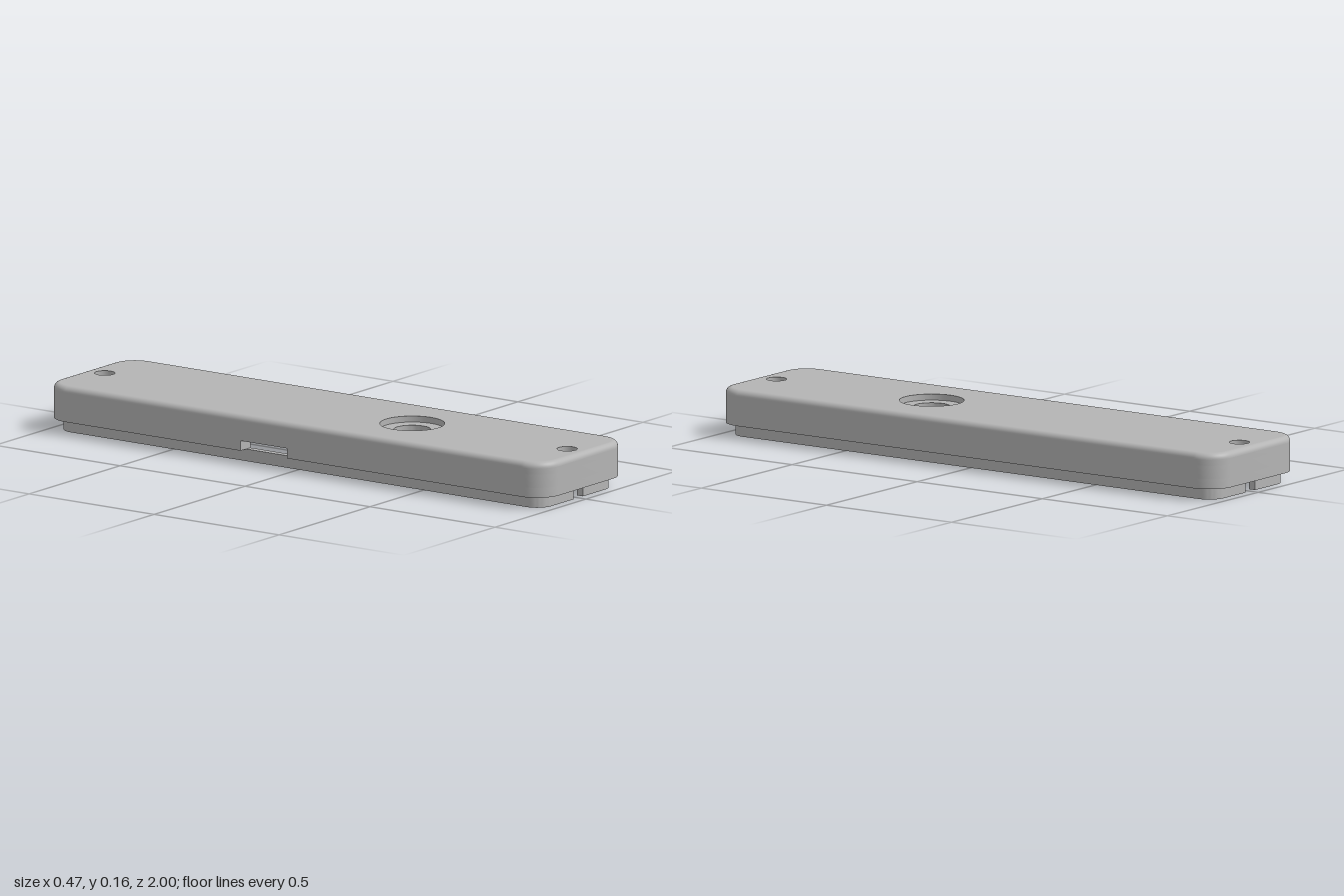
import * as THREE from 'three';
import { toCreasedNormals } from 'three/addons/utils/BufferGeometryUtils.js';

// Overall half sizes and heights
const HX = 0.236, HZ = 1, R = 0.088;
const LIP_X = 0.205, LIP_Z = 0.969, LIP_R = 0.057;
const IN_X = 0.181, IN_Z = 0.945, IN_R = 0.034;
const Y_RIM = 0.04, Y_SLOT = 0.073, Y_CEIL = 0.117, Y_FLOOR = 0.137, Y_TOP = 0.157;
const BUTTON_Z = 0.305, SCREW_Z = 0.925;

const V = (x, y) => new THREE.Vector2(x, y);

// Arc of corner k (0..3, counter-clockwise from +x +v) of a rounded rectangle
function corner(k, hx, hz, r, n = 12) {
  const sx = k === 0 || k === 3 ? 1 : -1, sz = k < 2 ? 1 : -1;
  return Array.from({ length: n + 1 }, (_, i) => {
    const t = (k + i / n) * Math.PI / 2;
    return V(sx * (hx - r) + r * Math.cos(t), sz * (hz - r) + r * Math.sin(t));
  });
}
const corners = (ks, ...size) => ks.flatMap(k => corner(k, ...size));
const roundRect = (...size) => corners([0, 1, 2, 3], ...size);

function circle(r, z, n = 48) {
  return Array.from({ length: n }, (_, i) =>
    V(r * Math.cos(i / n * 2 * Math.PI), -z + r * Math.sin(i / n * 2 * Math.PI)));
}

function shapeOf(outline, holes = []) {
  const s = new THREE.Shape(outline);
  s.holes = holes.map(h => new THREE.Path(h));
  return s;
}

// Plan shape (x, -z) raised from y0 to y1
function slab(outline, holes, y0, y1) {
  const g = new THREE.ExtrudeGeometry(shapeOf(outline, holes), { depth: y1 - y0, bevelEnabled: false });
  g.rotateX(-Math.PI / 2).translate(0, y0, 0);
  return toCreasedNormals(g, 0.5);
}

// Rounded top edge, made of shrinking outlines
function filletSkin(r, n = 8) {
  const rows = [[0, Y_TOP - r - 0.002]];
  for (let i = 0; i <= n; i++) {
    const t = i / n * Math.PI / 2;
    rows.push([r * (1 - Math.cos(t)), Y_TOP - r + r * Math.sin(t)]);
  }
  const pos = [], idx = [];
  let m = 0;
  for (const [inset, y] of rows) {
    const loop = roundRect(HX - inset, HZ - inset, R - inset);
    m = loop.length;
    loop.forEach(p => pos.push(p.x, y, -p.y));
  }
  for (let j = 0; j < rows.length - 1; j++) {
    for (let i = 0; i < m; i++) {
      const a = j * m + i, b = j * m + (i + 1) % m;
      idx.push(a, b, b + m, a, b + m, a + m);
    }
  }
  const g = new THREE.BufferGeometry();
  g.setAttribute('position', new THREE.Float32BufferAttribute(pos, 3));
  g.setIndex(idx);
  g.computeVertexNormals();
  return g;
}

export function createModel() {
  const group = new THREE.Group();
  const plastic = new THREE.MeshStandardMaterial({ color: 0xb4b4b4, side: THREE.DoubleSide });
  plastic.name = 'grey plastic';
  const add = (name, geometry) => {
    const mesh = new THREE.Mesh(geometry, plastic);
    mesh.name = name;
    group.add(mesh);
    return mesh;
  };

  const outer = roundRect(HX, HZ, R), inner = roundRect(IN_X, IN_Z, IN_R);
  const screws = [SCREW_Z, -SCREW_Z];

  // Inner lip in two halves, notched at both ends
  const gap = 0.026;
  const half = [
    V(gap, -LIP_Z), ...corners([3, 0], LIP_X, LIP_Z, LIP_R), V(gap, LIP_Z),
    V(gap, IN_Z), ...corners([3, 0], IN_X, IN_Z, IN_R).reverse(), V(gap, -IN_Z),
  ];
  const lip = slab(half, [], 0, Y_RIM);
  add('leftLip', lip);
  add('rightLip', lip).rotation.y = Math.PI;

  // Lower wall, interrupted by the side slot
  const s0 = 0.025, s1 = 0.21, ks = [2, 3, 0, 1];
  const ring = [
    V(-HX, s0), ...corners([2, 3, 0, 1], HX, HZ, R), V(-HX, s1),
    V(-IN_X, s1), ...corners(ks, IN_X, IN_Z, IN_R).reverse(), V(-IN_X, s0),
  ];
  // The corner order starts below the slot and ends above it
  add('lowerWall', slab(ring, [], Y_RIM, Y_SLOT));
  add('upperWall', slab(outer, [inner], Y_SLOT, Y_CEIL));

  // Ceiling plate with button hole, screw holes and a square pocket
  const pocket = [V(-0.052, 0.068), V(0.052, 0.068), V(0.052, 0.172), V(-0.052, 0.172)];
  add('ceiling', slab(outer,
    [circle(0.06, BUTTON_Z), ...screws.map(z => circle(0.033, z, 32)), pocket], Y_CEIL, Y_FLOOR));

  // Top face with rounded edge, and the walls of its recesses
  const fillet = Y_TOP - Y_FLOOR;
  add('roundedEdge', filletSkin(fillet));
  const face = new THREE.ShapeGeometry(shapeOf(
    roundRect(HX - fillet, HZ - fillet, R - fillet),
    [circle(0.105, BUTTON_Z), ...screws.map(z => circle(0.033, z, 32))]));
  face.rotateX(-Math.PI / 2).translate(0, Y_TOP, 0);
  add('topFace', face);
  const recess = (name, r, z, n) => {
    const g = new THREE.CylinderGeometry(r, r, fillet, n, 1, true);
    add(name, g.translate(0, Y_TOP - fillet / 2, z));
  };
  recess('buttonRecess', 0.105, BUTTON_Z, 48);
  screws.forEach(z => recess('screwRecess', 0.033, z, 32));

  // Screw posts under the ceiling
  screws.forEach(z => add('screwPost',
    slab(circle(0.04, z, 32), [circle(0.018, z, 24)], Y_RIM + 0.002, Y_CEIL)));

  return group;
}
